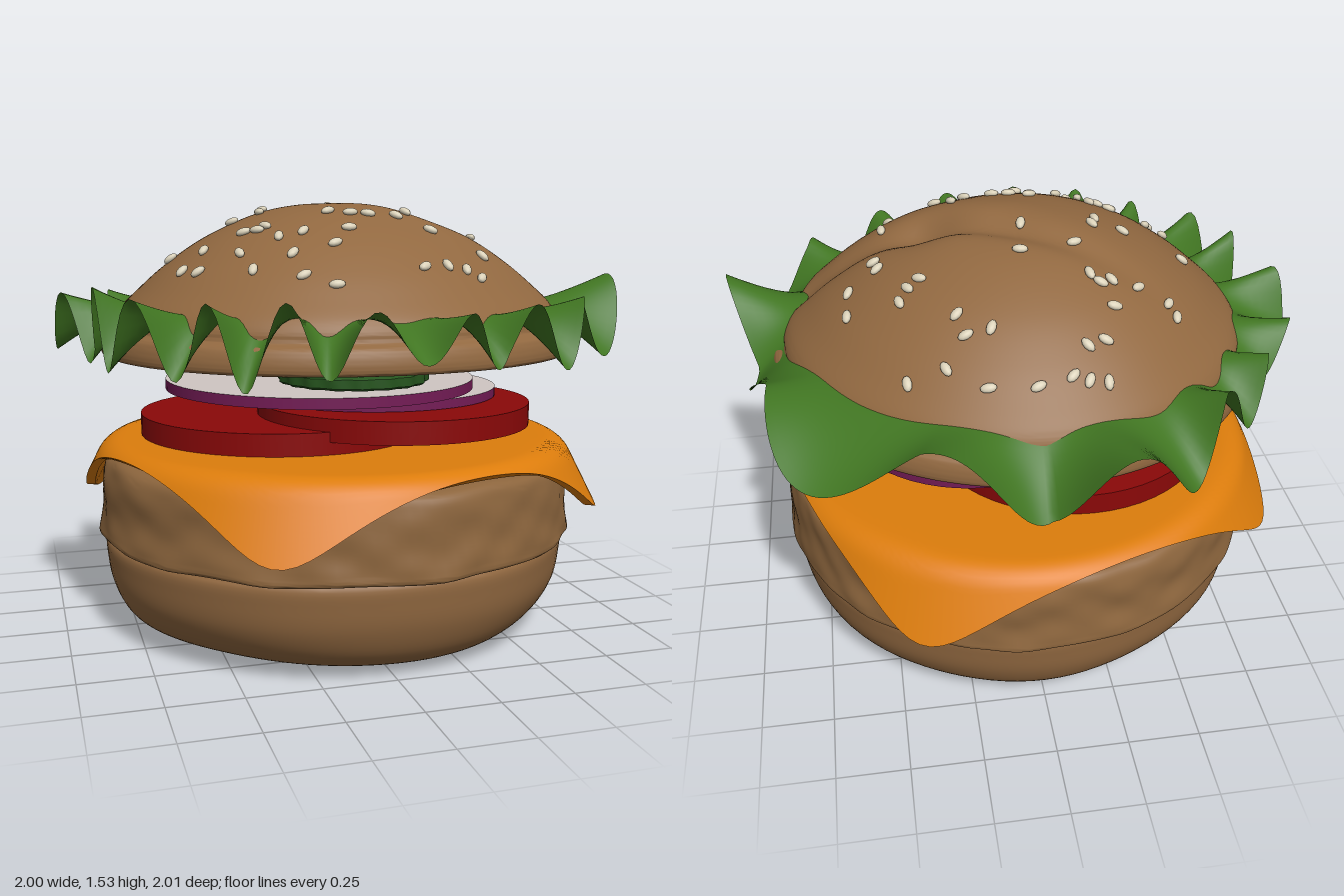
import * as THREE from 'three';
import { toCreasedNormals } from 'three/addons/utils/BufferGeometryUtils.js';

const mat = (name, color, extra = {}) => Object.assign(new THREE.MeshStandardMaterial({ color, ...extra }), { name });

// Closed-around-y surface: fn(theta, v) -> [radius, y]; v runs from the top centre outward and down.
function revolve(nu, nv, fn, crease = 0.8) {
  const pos = [], index = [];
  for (let j = 0; j <= nv; j++) {
    for (let i = 0; i < nu; i++) {
      const a = (i / nu) * Math.PI * 2;
      const [r, y] = fn(a, j / nv);
      pos.push(r * Math.cos(a), y, r * Math.sin(a));
      if (j === nv) continue;
      const k = (i + 1) % nu, p = j * nu, q = p + nu;
      index.push(p + i, p + k, q + i, p + k, q + k, q + i);
    }
  }
  const g = new THREE.BufferGeometry();
  g.setAttribute('position', new THREE.Float32BufferAttribute(pos, 3));
  g.setIndex(index);
  return toCreasedNormals(g, crease);
}

const profile = pts => {
  const c = new THREE.CatmullRomCurve3(pts.map(([r, y]) => new THREE.Vector3(r, y, 0)));
  return v => c.getPoint(v);
};
const bell = (d, w) => Math.exp(-((d / w) ** 2));
const deg = Math.PI / 180;

// Depth of the fold that crosses the top bun
function fold(x, z) {
  const d = (z - 0.1 - (x - 0.3) * (x < 0.3 ? 0.56 : 0.2)) * 0.87;
  const along = THREE.MathUtils.smoothstep(x, -0.6, 0.25);
  return along * (0.035 * bell(d, 0.06) - 0.012 * bell(d - 0.14, 0.1)) + 0.04 * bell(Math.hypot(x - 0.3, z - 0.08), 0.1);
}

// Top bun outline, from the crown down
const dome = profile([[0, 1.518], [0.14, 1.513], [0.28, 1.485], [0.47, 1.402], [0.61, 1.305], [0.7, 1.225],
  [0.765, 1.16], [0.785, 1.125], [0.79, 1.1], [0.82, 1.08], [0.835, 1.03], [0.83, 1.005], [0.8, 1], [0.4, 1], [0, 1]]);
function domePoint(a, v) {
  const p = dome(v);
  const r = p.x * (1 + 0.022 * Math.cos(2 * a) + 0.01 * Math.sin(3 * a + 1) + 0.012 * Math.sin(a));
  const fade = THREE.MathUtils.smoothstep(p.y, 1.1, 1.2);
  return [r, p.y - fade * fold(r * Math.cos(a), r * Math.sin(a))];
}
function domeHeight(x, z) {
  const r = Math.hypot(x, z), a = Math.atan2(z, x);
  let lo = 0, hi = 0.5;
  for (let i = 0; i < 25; i++) {
    const m = (lo + hi) / 2;
    if (domePoint(a, m)[0] < r) lo = m; else hi = m;
  }
  return domePoint(a, lo)[1];
}

// Sesame seeds as x, z pairs
const seedSpots = [
  -0.2, -0.63, -0.14, -0.63, -0.09, -0.62, 0.02, -0.64, 0.17, -0.62, -0.21, -0.52, -0.15, -0.54, 0.29, -0.54,
  0.41, -0.53, 0.14, -0.47, 0.24, -0.4, 0.22, -0.47, -0.26, -0.41, -0.23, -0.33, -0.27, -0.31, -0.2, -0.3,
  -0.48, -0.37, -0.46, -0.33, -0.36, -0.31, -0.18, -0.14, 0.01, -0.2, 0.34, -0.22, 0.38, -0.24, 0.41, -0.28,
  0.58, -0.21, 0.57, -0.11, 0.47, -0.08, 0.48, -0.03, -0.59, -0.02, -0.37, -0.02, -0.26, -0.03, -0.28, 0.02,
  -0.02, -0.02, -0.51, 0.2, -0.59, 0.24, -0.55, 0.32, -0.38, 0.23, -0.34, 0.26, -0.31, 0.25, -0.42, 0.36,
  -0.29, 0.36, -0.21, 0.37, -0.09, 0.24, -0.02, 0.27, 0.04, 0.28, 0.14, 0.28, 0.19, 0.23, 0.44, 0.22,
  -0.4, 0.47, -0.27, 0.47, -0.13, 0.47, -0.06, 0.39, 0.24, 0.35, 0.41, 0.4, 0.23, 0.54, 0.3, 0.53,
  0.35, 0.54, 0.14, 0.57, -0.26, 0.57, -0.17, 0.63];

export function createModel() {
  const model = new THREE.Group();
  const bread = mat('bun brown', 0x916840);
  const meat = mat('patty brown', 0x8c653d);
  const cheese = mat('cheese orange', 0xdd7d0c);
  const red = mat('tomato red', 0x8a0808);
  const purple = mat('onion purple', 0x741c56);
  const pale = mat('onion white', 0xcfc6c2);
  const pickleGreen = mat('pickle green', 0x26551e);
  const leaf = mat('lettuce green', 0x417622, { side: THREE.DoubleSide });
  const cream = mat('seed cream', 0xd9d0b8);

  const add = (name, geometry, material, parent = model) => {
    const m = new THREE.Mesh(geometry, material);
    m.name = name;
    parent.add(m);
    return m;
  };
  const group = name => {
    const g = new THREE.Group();
    g.name = name;
    model.add(g);
    return g;
  };

  // Bottom bun with a slightly uneven rounded base
  const base = profile([[0, 0.36], [0.5, 0.36], [0.8, 0.36], [0.832, 0.34], [0.832, 0.27], [0.815, 0.18],
    [0.765, 0.09], [0.69, 0.035], [0.58, 0.012], [0.3, 0.012], [0, 0.03]]);
  add('bottomBun', revolve(96, 50, (a, v) => {
    const p = base(v);
    const low = 1 - THREE.MathUtils.smoothstep(p.y, 0, 0.2);
    const r = p.x * (1 + 0.016 * Math.cos(2 * a) + 0.01 * Math.cos(4 * a) * low + 0.004 * Math.sin(7 * a));
    return [r, Math.max(0, p.y + low * 0.01 * Math.sin(3 * a + 1) * p.x)];
  }), bread);

  // Rough patty with a small lip at the bottom
  const slab = profile([[0, 0.64], [0.5, 0.64], [0.78, 0.64], [0.83, 0.625], [0.85, 0.57], [0.855, 0.46],
    [0.865, 0.39], [0.865, 0.36], [0.83, 0.35], [0.5, 0.35], [0, 0.35]]);
  add('patty', revolve(140, 60, (a, v) => {
    const p = slab(v);
    const rough = Math.sin(9 * a + 2) * Math.sin(31 * p.y + 3 * Math.sin(5 * a)) + 0.6 * Math.sin(23 * a) * Math.sin(47 * p.y + 4 * a * Math.sin(a / 2));
    const edge = THREE.MathUtils.smoothstep(p.x, 0.6, 0.8);
    return [p.x + edge * 0.004 * rough, p.y + edge * 0.004 * Math.sin(11 * a + 1)];
  }, 1), meat);

  // Square cheese slice whose four corners drape over the patty
  add('cheeseSlice', revolve(160, 64, (a, v) => {
    const b = a - 71 * deg;
    const len = 0.85 / (Math.abs(Math.cos(b)) ** 8.4 + Math.abs(Math.sin(b)) ** 8.4) ** (1 / 8.4);
    const under = v > 0.5;
    const t = under ? 2 - 2 * v : 2 * v;
    const s = len * Math.sqrt(t), flat = 0.78, bend = 0.1, steep = 1.1;
    const phi = THREE.MathUtils.clamp((s - flat) / bend, 0, steep);
    const rest = Math.max(0, s - flat - bend * steep);
    const r = Math.min(s, flat) + bend * Math.sin(phi) + rest * Math.cos(steep);
    const y = 0.692 - bend * (1 - Math.cos(phi)) - rest * Math.sin(steep);
    const th = under ? 0.032 : 0;
    return [Math.max(0, r - th * Math.sin(phi)), y - th * Math.cos(phi)];
  }), cheese);

  // Stacked slices: x, z, radius, bottom, top
  const disc = (parent, name, material, [x, z, r, y0, y1]) =>
    add(name, new THREE.CylinderGeometry(r, r, y1 - y0, 56), material, parent).position.set(x, (y0 + y1) / 2, z);
  const tomatoes = group('tomatoes');
  disc(tomatoes, 'tomatoSlice', red, [-0.185, -0.065, 0.52, 0.692, 0.77]);
  disc(tomatoes, 'tomatoSlice', red, [0.2, 0.09, 0.5, 0.735, 0.815]);
  const onions = group('onions');
  for (const o of [[0.165, -0.075, 0.475, 0.817, 0.85], [0.08, 0, 0.38, 0.85, 0.868], [-0.065, 0.035, 0.56, 0.868, 0.905]])
    disc(onions, 'onionSlice', [purple, pale, pale], o);

  // Pickles with a crinkled rim
  const pickles = group('pickles');
  for (const [x, z, y] of [[-0.02, 0.31, 0.918], [-0.35, -0.29, 0.91], [0.34, -0.3, 0.906]]) {
    const rim = [[0, 0.046], [0.95, 0.046], [1, 0.038], [1, 0.008], [0.95, 0], [0, 0]];
    const g = revolve(72, 5, (a, v) => {
      const [r, h] = rim[Math.round(v * 5)];
      return [r * (0.255 + 0.006 * Math.cos(18 * a)), h];
    });
    add('pickleSlice', g, pickleGreen, pickles).position.set(x, y, z);
  }

  // Ruffled lettuce collar: lobes around the rim, ripples growing outward
  const lobes = [[17, 1.03], [51, 0.94], [90, 1], [122, 0.94], [150, 0.98], [183, 1], [222, 0.92], [253, 1.04], [282, 0.95], [317, 1.08], [346, 0.95]];
  const rimRadius = a => {
    let r = 0.86;
    for (const [d, top] of lobes) {
      const off = Math.atan2(Math.sin(a - d * deg), Math.cos(a - d * deg));
      r = Math.max(r, 0.86 + (top - 0.86) * bell(off, 0.3));
    }
    return r;
  };
  add('lettuce', revolve(352, 10, (a, v) => {
    // Ripples are tight at the front and left, wider at the right and back
    const phase = 16 * (a - 90 * deg) - 5 * Math.cos(a) - 6 * (Math.sin(a) - 1);
    const amp = 0.11 + 0.025 * Math.sin(3 * a + 0.5) + 0.015 * Math.sin(7 * a);
    const r = THREE.MathUtils.lerp(0.7, rimRadius(a), v) + 0.008 * v * Math.sin(phase + 4 * v);
    const y = 1.17 - 0.06 * v + 0.015 * Math.sin(5 * a) * v - Math.cos(phase) * amp * v ** 1.4;
    return [r, y];
  }, 1.2), leaf);

  // Top bun
  add('topBun', revolve(144, 112, domePoint, 0.9), bread);

  // Seeds lie flat on the crown, each turned differently
  const seeds = group('sesameSeeds');
  const seedShape = new THREE.SphereGeometry(1, 10, 8);
  seedShape.scale(0.016, 0.013, 0.027);
  const up = new THREE.Vector3(0, 1, 0);
  for (let i = 0; i < seedSpots.length; i += 2) {
    const x = seedSpots[i], z = seedSpots[i + 1], e = 0.03;
    const normal = new THREE.Vector3(domeHeight(x - e, z) - domeHeight(x + e, z), 2 * e,
      domeHeight(x, z - e) - domeHeight(x, z + e)).normalize();
    const seed = add('seed', seedShape, cream, seeds);
    seed.position.set(x, domeHeight(x, z), z).addScaledVector(normal, 0.007);
    seed.quaternion.setFromUnitVectors(up, normal);
    seed.rotateY(i * 1.37);
  }
  return model;
}
